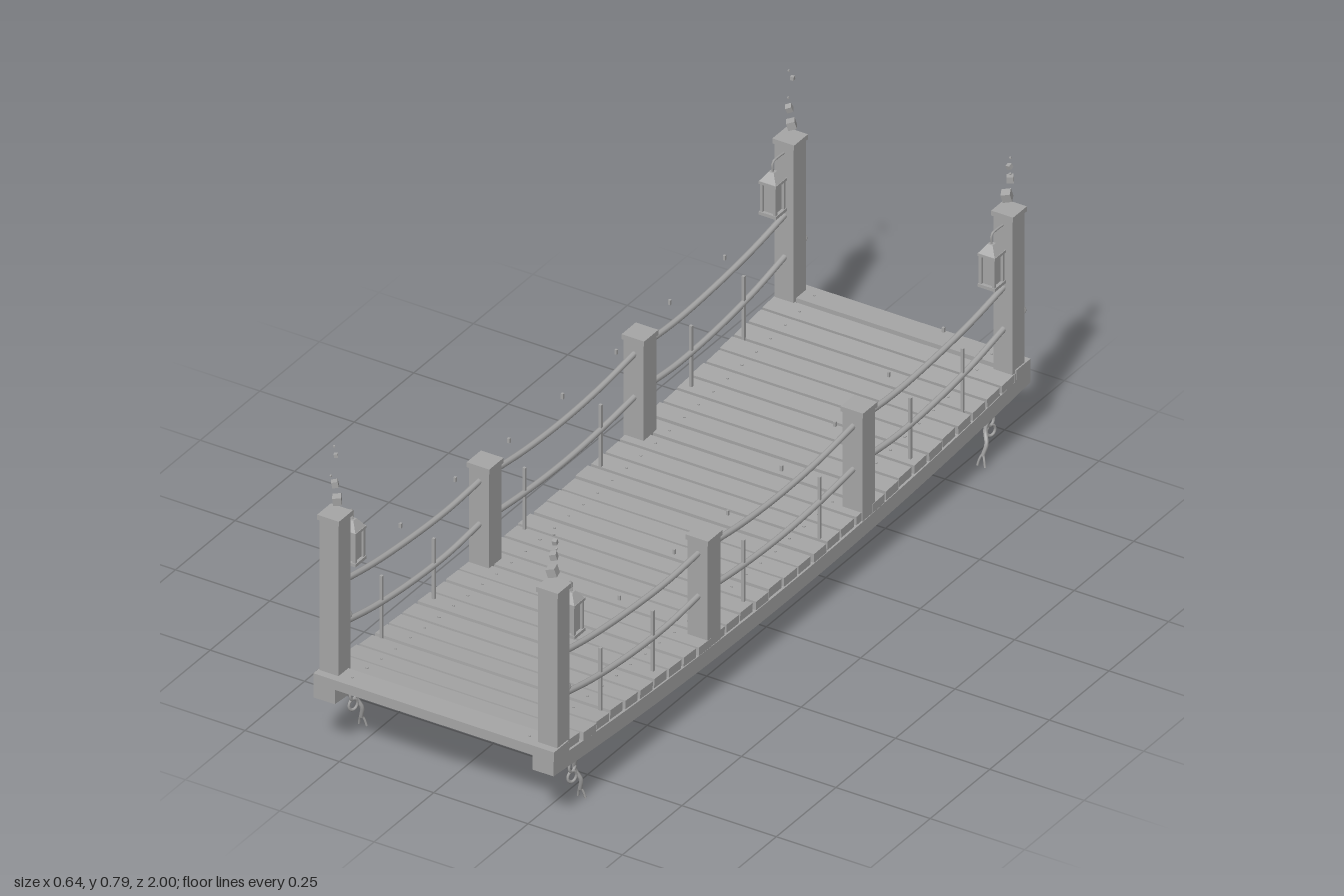
import * as THREE from 'three';

export function createModel() {
  const root = new THREE.Group();
  const grey = new THREE.MeshStandardMaterial({ color: 0xa6a6a6 });
  grey.name = 'plainGrey';

  const add = (name, geo, x = 0, y = 0, z = 0, parent = root) => {
    const m = new THREE.Mesh(geo, grey);
    m.name = name;
    m.position.set(x, y, z);
    parent.add(m);
    return m;
  };
  const box = (name, w, h, d, x, y, z, parent) =>
    add(name, new THREE.BoxGeometry(w, h, d), x, y, z, parent);
  const tube = (name, pts, r, seg = 12, sides = 6, parent = root) =>
    add(name, new THREE.TubeGeometry(
      new THREE.CatmullRomCurve3(pts.map(p => new THREE.Vector3(...p))), seg, r, sides), 0, 0, 0, parent);

  // Height offset of the sagging deck
  const sag = z => -0.047 * (1 - z * z);
  let seed = 7;
  const rnd = () => (seed = (seed * 16807) % 2147483647) / 2147483647;

  // Deck planks with nail heads
  const count = 33, pitch = 2 / count;
  for (let i = 0; i < count; i++) {
    const z = -1 + (i + 0.5) * pitch;
    const end = i === 0 || i === count - 1;
    const plank = new THREE.Group();
    plank.name = 'plank';
    plank.position.set(0, 0.197 + sag(z) + (end ? 0.003 : (rnd() - 0.5) * 0.003), z);
    plank.rotation.x = end ? 0 : -0.094 * z;
    root.add(plank);
    box('plankBoard', end ? 0.638 : 0.622 + rnd() * 0.014, 0.025, end ? pitch : pitch - 0.007 - rnd() * 0.003, 0, 0, 0, plank);
    for (const x of [-0.235, 0.235])
      add('nail', new THREE.CylinderGeometry(0.003, 0.003, 0.003, 6), x, 0.0135, 0, plank);
  }

  // Curved side beams
  for (const s of [-1, 1]) {
    const geo = new THREE.BoxGeometry(0.056, 0.04, 2, 1, 1, 24);
    const p = geo.attributes.position;
    for (let i = 0; i < p.count; i++) p.setY(i, p.getY(i) + sag(p.getZ(i)));
    geo.computeVertexNormals();
    add('sideBeam', geo, s * 0.29, 0.167, 0);
    for (const e of [-1, 1]) box('beamEnd', 0.056, 0.055, 0.065, s * 0.29, 0.174, e * 0.9675);
  }

  // Posts with caps
  const post = (x, z, top, w) => {
    const base = 0.17 + sag(z);
    box('post', w, top - 0.012 - base, w, x, (top - 0.012 + base) / 2, z);
    box('postCap', w + 0.007, 0.013, w + 0.007, x, top - 0.0065, z);
  };

  // Hanging lantern on a hook; e points towards the bridge end
  const lantern = (x, e) => {
    const g = new THREE.Group();
    g.name = 'lantern';
    g.position.set(x, 0, e * 0.882);
    root.add(g);
    tube('lanternHook', [[0, 0.588, e * 0.05], [0, 0.59, e * 0.02], [0, 0.587, 0.0], [0, 0.56, 0]], 0.003, 10, 6, g);
    box('lanternBase', 0.046, 0.008, 0.046, 0, 0.459, 0, g);
    box('lanternTop', 0.046, 0.007, 0.046, 0, 0.539, 0, g);
    add('lanternRoof', new THREE.CylinderGeometry(0.01, 0.031, 0.022, 4).rotateY(Math.PI / 4).toNonIndexed(), 0, 0.553, 0, g)
      .geometry.computeVertexNormals();
    box('lanternGlass', 0.03, 0.074, 0.03, 0, 0.499, 0, g);
    for (const a of [-1, 1]) for (const b of [-1, 1])
      box('lanternFrame', 0.007, 0.074, 0.007, a * 0.0175, 0.499, b * 0.0175, g);
  };

  // Oval link with its long axis along y
  const link = (name, x, y, z, h, turn, tilt = 0, parent = root) => {
    const geo = new THREE.TorusGeometry(0.012, 0.0035, 6, 14);
    geo.scale(1, h / 0.031, 1);
    const m = add(name, geo, x, y, z, parent);
    m.rotation.set(tilt, turn, 0, 'XYZ');
    return m;
  };

  // Chain hanging below the beam with a forked loose end
  const chain = (x, e) => {
    link('chainLink', x, 0.132, e * 0.88, 0.042, 0.5);
    link('chainLink', x, 0.103, e * 0.878, 0.04, 1.5);
    link('chainLink', x, 0.075, e * 0.879, 0.036, 1.2);
    tube('chainStrap', [[x + 0.006, 0.125, e * 0.873], [x - 0.004, 0.085, e * 0.862],
      [x + 0.006, 0.055, e * 0.851], [x, 0.026, e * 0.845]], 0.0055, 12, 6);
    for (const s of [-1, 1])
      tube('strapFork', [[x, 0.032, e * 0.846], [x + s * 0.006, 0.018, e * 0.841], [x + s * 0.01, 0.001, e * 0.838]], 0.003, 6, 5);
  };

  // Drifting cubes above the end posts: x shift, height, size
  const cubes = [[-0.004, 0.652, 0.022], [0, 0.694, 0.016], [0.002, 0.73, 0.011], [0.006, 0.713, 0.004], [0.003, 0.752, 0.004]];
  const tallCubes = [[0.004, 0.652, 0.02], [0, 0.694, 0.015], [0.005, 0.772, 0.009], [-0.008, 0.714, 0.004], [-0.004, 0.789, 0.004]];

  for (const s of [-1, 1]) {
    const x = s * 0.29;
    for (const e of [-1, 1]) {
      post(x, e * 0.955, 0.618, 0.051);
      post(x, e * 0.325, 0.43, 0.053);
      lantern(x, e);
      chain(x, e);
      for (const [dx, y, size] of s < 0 ? tallCubes : cubes) {
        const c = box('floatingCube', size, size, size, x + dx, y, e * 0.955 + (rnd() - 0.5) * 0.01);
        c.rotation.set(rnd() * 0.3, rnd() * 0.6, rnd() * 0.3);
      }
      // Rope knot on the back face of each tall post
      const kz = e * 0.955 - 0.03;
      link('knotLoop', x, 0.352, kz, 0.04, 0);
      link('knotLoop', x + 0.007, 0.336, kz - 0.003, 0.03, 0.6);
      add('knotBall', new THREE.IcosahedronGeometry(0.009, 1), x, 0.345, kz - 0.003);

      // Outer rope spans
      tube('topRope', [[x, 0.425, e * 0.94], [x, 0.402, e * 0.8], [x, 0.387, e * 0.64], [x, 0.381, e * 0.48], [x, 0.388, e * 0.34]], 0.0075, 20, 8);
      tube('lowerRope', [[x, 0.316, e * 0.94], [x, 0.288, e * 0.8], [x, 0.27, e * 0.64], [x, 0.265, e * 0.48], [x, 0.276, e * 0.34]], 0.0075, 20, 8);

      // Thin upright rods
      for (const [z, top] of [[0.76, 0.352], [0.54, 0.336], [0.16, 0.325]]) {
        const base = 0.195 + sag(z);
        box('rod', 0.007, top - base, 0.007, x, (top + base) / 2, e * z);
      }
      // Small drifting specks
      for (const [z, y] of [[0.68, 0.442], [0.45, 0.444], [0.225, 0.43]])
        box('speck', 0.006, 0.012, 0.006, x, y, e * z);
    }
    // Middle rope spans
    tube('topRope', [[x, 0.388, -0.32], [x, 0.37, -0.16], [x, 0.364, 0], [x, 0.37, 0.16], [x, 0.388, 0.32]], 0.0075, 20, 8);
    tube('lowerRope', [[x, 0.274, -0.32], [x, 0.259, -0.16], [x, 0.253, 0], [x, 0.259, 0.16], [x, 0.274, 0.32]], 0.0075, 20, 8);
    box('speck', 0.006, 0.014, 0.006, x, 0.43, 0);
  }
  return root;
}
